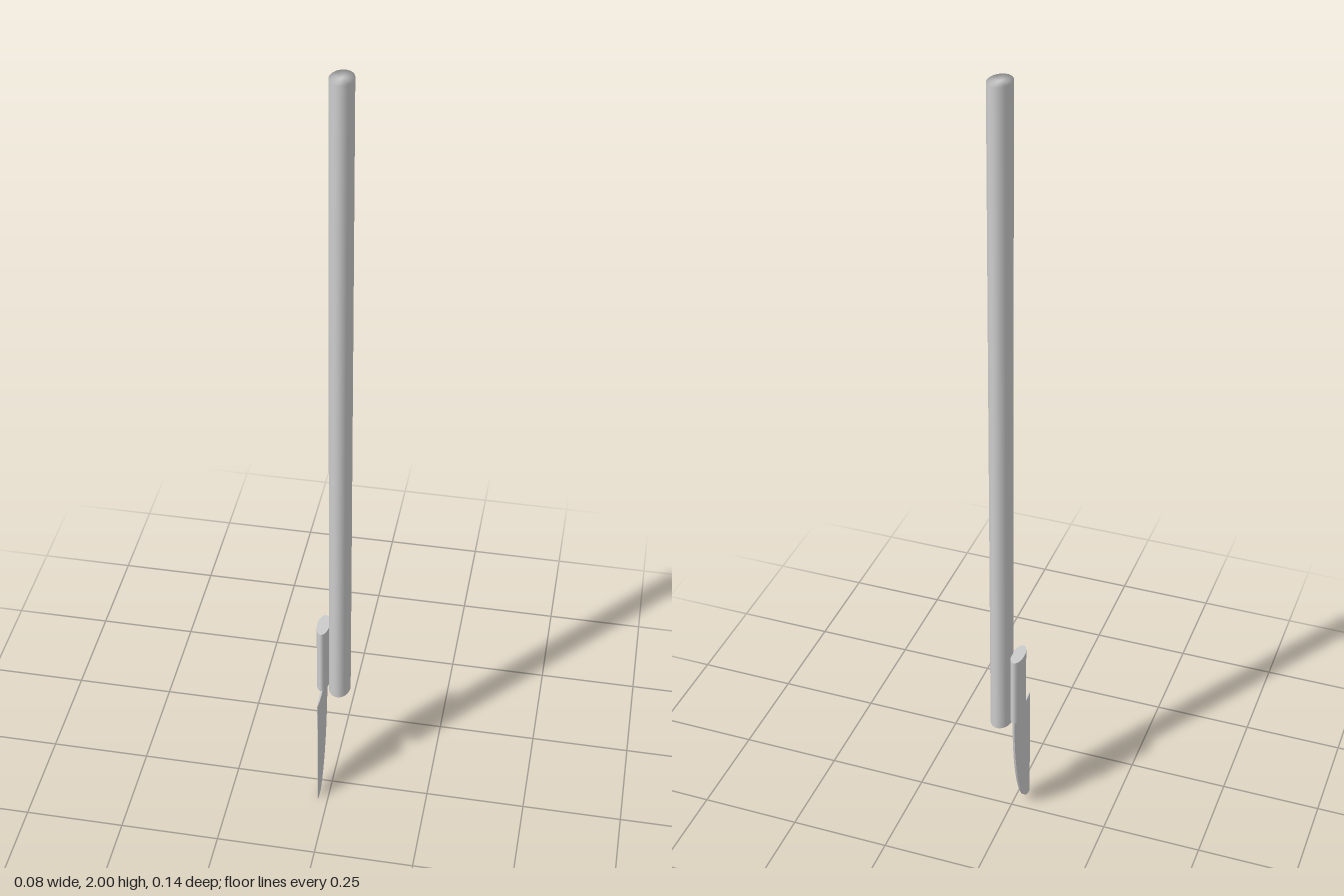
import * as THREE from 'three';
import { mergeVertices } from 'three/addons/utils/BufferGeometryUtils.js';

const material = new THREE.MeshStandardMaterial({ color: 0xcccccc });

// Upright cylinder with an elliptical section, from y0 to y1
function ovalRod(name, rx, rz, y0, y1, x, z, softCaps) {
  let geo = new THREE.CylinderGeometry(1, 1, y1 - y0, 48);
  geo.scale(rx, 1, rz);
  if (softCaps) {
    // share rim vertices so shading runs over the caps
    geo.deleteAttribute('normal');
    geo.deleteAttribute('uv');
    geo = mergeVertices(geo);
    geo.computeVertexNormals();
  }
  const mesh = new THREE.Mesh(geo, material);
  mesh.name = name;
  mesh.position.set(x, (y0 + y1) / 2, z);
  return mesh;
}

// Thin blade: straight front edge, quarter-ellipse back, tapering toward the front
function makeBlade(height, depth, frontZ, halfThick) {
  const geo = new THREE.BoxGeometry(1, 1, 1, 1, 24, 10);
  const p = geo.attributes.position;
  for (let i = 0; i < p.count; i++) {
    const a = (p.getY(i) + 0.5) * Math.PI / 2;
    const inset = (0.5 - p.getZ(i)) * depth * Math.sin(a);
    const taper = Math.min(1, 0.3 + inset / 0.035);
    p.setXYZ(i, Math.sign(p.getX(i)) * halfThick * taper, height * (1 - Math.cos(a)), frontZ - inset);
  }
  geo.computeVertexNormals();
  const mesh = new THREE.Mesh(geo, material);
  mesh.name = 'blade';
  return mesh;
}

export function createModel() {
  const model = new THREE.Group();
  model.name = 'poleKnife';

  // Long pole
  model.add(ovalRod('pole', 0.027, 0.038, 0.31, 2, 0.014, -0.031, true));

  // Short grip lashed beside the pole, with the blade below it
  model.add(ovalRod('grip', 0.0155, 0.037, 0.33, 0.52, -0.0265, -0.024, false));
  const blade = makeBlade(0.33, 0.124, 0.068, 0.0025);
  blade.position.x = -0.025;
  model.add(blade);

  return model;
}
